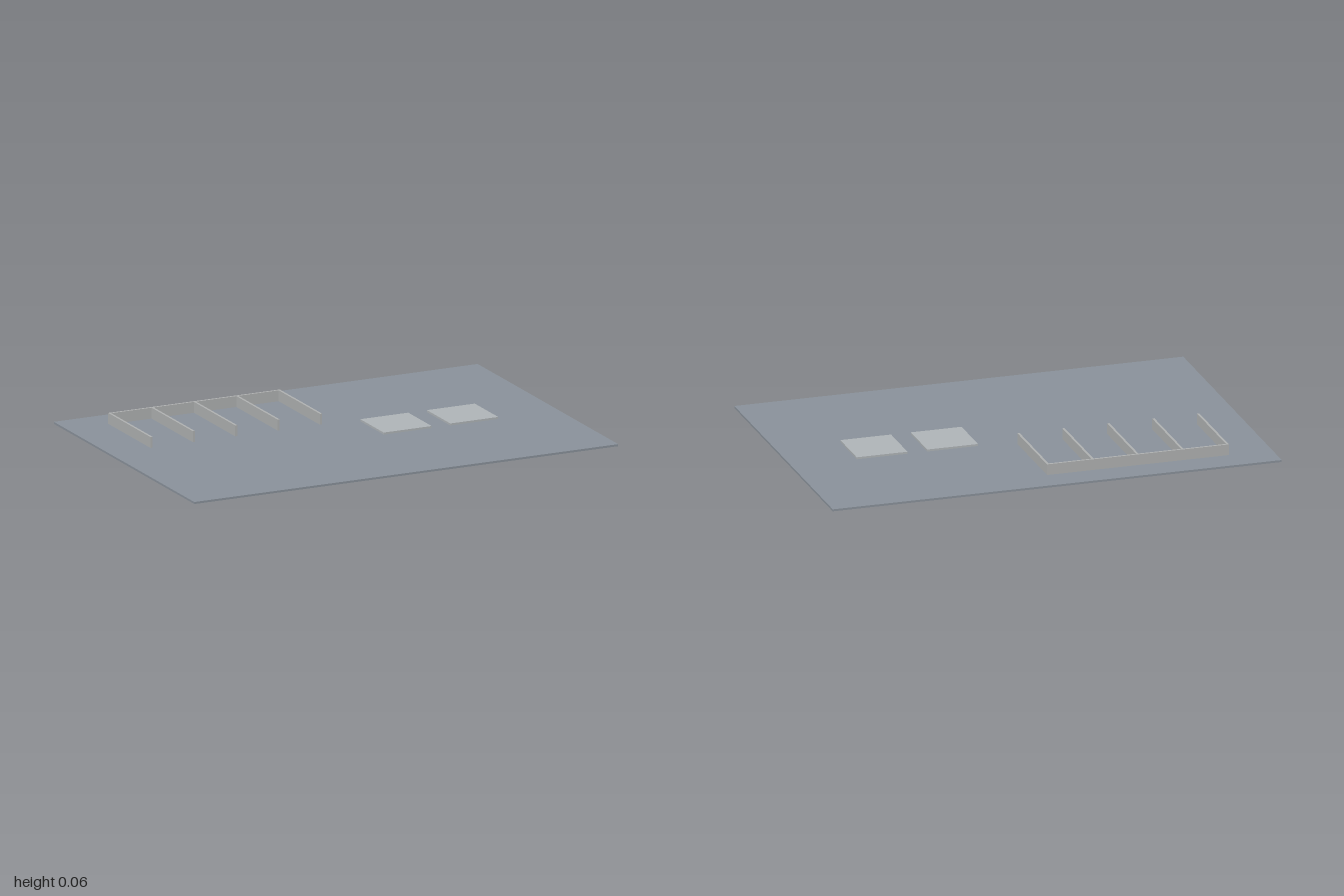
import * as THREE from 'three';

export function createModel() {
  const model = new THREE.Group();
  const material = (name, color) => {
    const m = new THREE.MeshStandardMaterial({ color });
    m.name = name;
    return m;
  };
  const paving = material('slate grey', 0x8a929b);
  const concrete = material('concrete grey', 0xb0b2b2);
  const padGrey = material('pale grey', 0xb0b5b8);

  // Box given by its extents along each axis
  const box = (name, mat, [x0, x1], [y0, y1], [z0, z1], parent = model) => {
    const mesh = new THREE.Mesh(new THREE.BoxGeometry(x1 - x0, y1 - y0, z1 - z0), mat);
    mesh.position.set((x0 + x1) / 2, (y0 + y1) / 2, (z0 + z1) / 2);
    mesh.name = name;
    parent.add(mesh);
  };

  const ground = 0.009;
  box('baseSlab', paving, [-1, 1], [0, ground], [-0.678, 0.678]);

  // Row of four open bays: back wall and five dividers
  const bays = new THREE.Group();
  bays.name = 'storageBays';
  model.add(bays);
  const wallTop = 0.057;
  box('backWall', concrete, [-0.806, 0.004], [ground, wallTop], [-0.55, -0.54], bays);
  for (let i = 0; i < 5; i++) {
    const x = -0.801 + i * 0.2;
    box('divider', concrete, [x - 0.005, x + 0.005], [ground, wallTop], [-0.54, -0.142], bays);
  }

  // Two square raised pads
  for (const x of [0.284, 0.598]) {
    box('raisedPad', padGrey, [x - 0.113, x + 0.113], [ground, 0.018], [-0.115, 0.111]);
  }
  return model;
}
